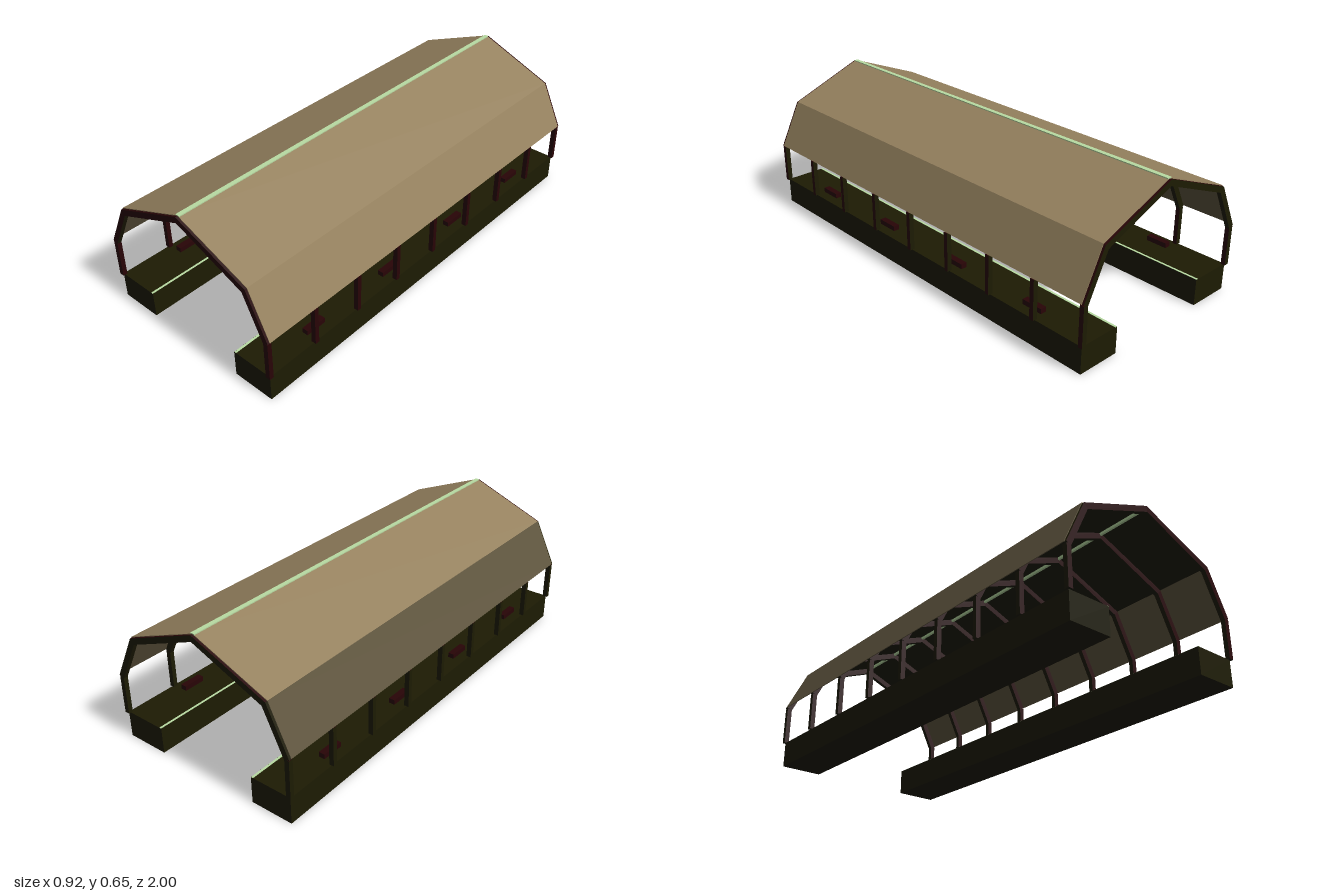
import * as THREE from 'three';

const mat = (name, color) => {
  const m = new THREE.MeshStandardMaterial({ color });
  m.name = name;
  return m;
};

export function createModel() {
  const model = new THREE.Group();
  model.name = 'platformShelter';
  const tan = mat('tanRoofing', 0x96825f);
  const brown = mat('greyBrownRoofing', 0x60563f);
  const olive = mat('darkOlive', 0x1d1b03);
  const red = mat('darkRed', 0x280406);
  const pale = mat('paleGreen', 0xb9dba3);

  const add = (name, geo, material, x = 0, y = 0, z = 0, parent = model) => {
    const m = new THREE.Mesh(geo, material);
    m.name = name;
    m.position.set(x, y, z);
    parent.add(m);
    return m;
  };
  const box = (name, w, h, d, material, x, y, z, parent) =>
    add(name, new THREE.BoxGeometry(w, h, d), material, x, y, z, parent);

  // Roof sheet whose outer face runs from p to q (p has the smaller x)
  const T = 0.003, LENGTH = 1.98;
  const sheet = (name, p, q, top, lining) => {
    const dx = q[0] - p[0], dy = q[1] - p[1], len = Math.hypot(dx, dy);
    const m = box(name, len, T, LENGTH, [top, top, top, lining, top, top],
      (p[0] + q[0]) / 2 + (dy / len) * T / 2, (p[1] + q[1]) / 2 - (dx / len) * T / 2, 0);
    m.rotation.z = Math.atan2(dy, dx);
  };
  const eave = [0.459, 0.305], knee = [0.358, 0.511], ridge = [0, 0.653];
  const flip = ([x, y]) => [-x, y];
  sheet('upperRoofLeft', ridge, knee, tan, olive);
  sheet('upperRoofRight', flip(knee), ridge, tan, olive);
  sheet('lowerRoofLeft', knee, eave, tan, brown);
  sheet('lowerRoofRight', flip(eave), flip(knee), brown, brown);

  // Pale strip along the ridge, with a narrow lamp rail below it
  box('ridgeStrip', 0.02, 0.005, LENGTH, pale, 0, 0.651, 0);
  box('ridgeLamp', 0.01, 0.012, LENGTH, pale, 0, 0.643, 0);

  // Arched rafter: red on its front and upper faces, olive elsewhere
  const outer = [[0.457, 0.303], [0.356, 0.508], [0, 0.650]];
  const inner = [[0.433, 0.293], [0.338, 0.486], [0, 0.622]];
  const outerArc = [...outer, ...outer.slice(0, 2).reverse().map(flip)];
  const innerArc = [...inner.slice(0, 2).map(flip), inner[2], ...inner.slice(0, 2).reverse()];
  const arch = new THREE.ExtrudeGeometry(
    new THREE.Shape([...outerArc, ...innerArc].map(([x, y]) => new THREE.Vector2(x, y))),
    { depth: 0.02, bevelEnabled: false });
  arch.translate(0, 0, -0.01);
  const n = arch.getAttribute('normal');
  arch.clearGroups();
  for (let i = 0; i < n.count; i += 3) {
    const isRed = n.getZ(i) > 0.5 || (n.getY(i) > 0.3 && n.getX(i) > -0.5);
    arch.addGroup(i, 3, isRed ? 0 : 1);
  }

  // Nine frames, each an arch on two posts
  const postFaces = [red, olive, red, olive, red, olive];
  for (let i = 0; i < 9; i++) {
    const frame = new THREE.Group();
    frame.name = 'frame';
    frame.position.z = -0.99 + i * 0.2475;
    add('rafter', arch, [red, olive], 0, 0, 0, frame);
    for (const s of [-1, 1]) {
      box('post', 0.022, 0.178, 0.02, postFaces, s * 0.444, 0.209, 0, frame);
    }
    model.add(frame);
  }

  // Platforms with pale edge lines and benches
  for (const s of [-1, 1]) {
    box('platform', 0.197, 0.12, LENGTH, olive, s * 0.3465, 0.06, 0);
    box('platformEdgeLine', 0.01, 0.001, LENGTH, pale, s * 0.254, 0.1205, 0);
    for (const z of [-0.69, -0.23, 0.23, 0.69]) {
      box('bench', 0.028, 0.022, 0.1, red, s * 0.385, 0.131, z);
    }
  }
  return model;
}
